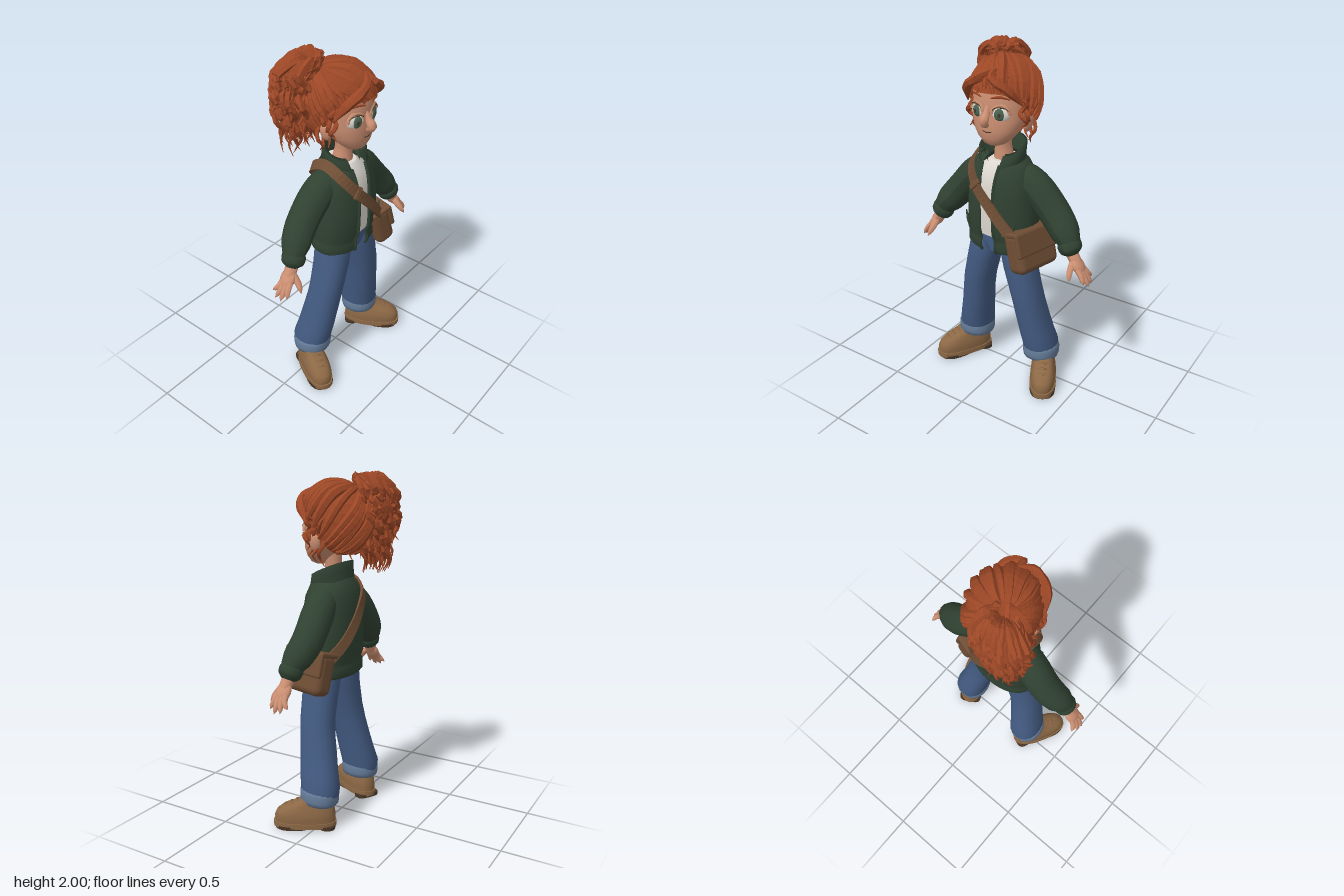
import * as THREE from 'three';
import { RoundedBoxGeometry } from 'three/addons/geometries/RoundedBoxGeometry.js';

const mat = (name, color, side = THREE.FrontSide) => {
  const m = new THREE.MeshStandardMaterial({ color, side });
  m.name = name;
  return m;
};
const V = (x, y, z) => new THREE.Vector3(x, y, z);

// Small seeded generator
let seed = 7;
const rnd = (a = 0, b = 1) => {
  seed = (seed * 16807) % 2147483647;
  return a + (b - a) * (seed / 2147483647);
};

// Horizontal rounded section; a gap leaves it open at the front, turned aside by turn; tilt raises the back
function ring(cx, y, rx, zf, zb, { n = 24, gap = 0, turn = 0, tilt = 0, pow = 0.9 } = {}) {
  const out = [], count = gap ? n + 1 : n, zc = (zf + zb) / 2, rz = (zf - zb) / 2;
  const bend = v => Math.sign(v) * Math.abs(v) ** pow;
  for (let i = 0; i < count; i++) {
    const a = turn + gap + (i / n) * (Math.PI * 2 - gap * 2);
    const z = zc + rz * bend(Math.cos(a));
    out.push(V(cx + rx * bend(Math.sin(a)), y + tilt * (zc - z), z));
  }
  return out;
}

// Surface through a stack of sections, bottom to top
function loft(rings, { open = false, caps = true, flat = false } = {}) {
  const n = rings[0].length, pos = [], idx = [];
  rings.forEach(r => r.forEach(p => pos.push(p.x, p.y, p.z)));
  for (let i = 0; i < rings.length - 1; i++)
    for (let j = 0; j < (open ? n - 1 : n); j++) {
      const k = (j + 1) % n, a = i * n + j, b = i * n + k, c = b + n, d = a + n;
      idx.push(a, b, c, a, c, d);
    }
  if (!open && caps) [0, rings.length - 1].forEach((r, top) => {
    const c = rings[r].reduce((s, p) => s.add(p), V(0, 0, 0)).divideScalar(n);
    const base = pos.length / 3;
    rings[r].forEach(p => pos.push(p.x, p.y, p.z));
    pos.push(c.x, c.y, c.z);
    for (let j = 0; j < n; j++) {
      const a = base + j, b = base + (j + 1) % n;
      idx.push(...(top ? [a, b, base + n] : [b, a, base + n]));
    }
  });
  let g = new THREE.BufferGeometry();
  g.setAttribute('position', new THREE.Float32BufferAttribute(pos, 3));
  g.setIndex(idx);
  if (flat) g = g.toNonIndexed();
  g.computeVertexNormals();
  return g;
}

// Tube whose radius follows a list
function limb(points, radii, seg = 12, sides = 10, flat = false) {
  const curve = new THREE.CatmullRomCurve3(points);
  let g = new THREE.TubeGeometry(curve, seg, 1, sides);
  const p = g.attributes.position, v = V(0, 0, 0);
  for (let i = 0; i <= seg; i++) {
    const c = curve.getPointAt(i / seg), f = (i / seg) * (radii.length - 1);
    const k = Math.min(Math.floor(f), radii.length - 2);
    const r = THREE.MathUtils.lerp(radii[k], radii[k + 1], f - k);
    for (let j = 0; j <= sides; j++) {
      const q = i * (sides + 1) + j;
      v.fromBufferAttribute(p, q).sub(c).multiplyScalar(r).add(c);
      p.setXYZ(q, v.x, v.y, v.z);
    }
  }
  if (flat) g = g.toNonIndexed();
  g.computeVertexNormals();
  return g;
}

export function createModel() {
  seed = 7;
  const root = new THREE.Group();
  root.name = 'figure';
  const M = {
    hair: mat('hair red', 0x9c4726, THREE.DoubleSide), skin: mat('skin', 0xcd9073),
    jacket: mat('jacket green', 0x304232, THREE.DoubleSide), jeans: mat('denim', 0x435b82),
    cuff: mat('light denim', 0x647b98), boot: mat('boot tan', 0x8c6845),
    sole: mat('dark brown', 0x483527), bag: mat('bag leather', 0x6f4e35, THREE.DoubleSide),
    white: mat('off white', 0xdfdad2), iris: mat('iris green', 0x4c6352),
  };
  const add = (name, geo, m, parent = root) => {
    const o = new THREE.Mesh(geo, m);
    o.name = name;
    parent.add(o);
    return o;
  };
  const ball = (name, m, p, s, parent = root) => {
    const o = add(name, new THREE.SphereGeometry(1, 20, 14), m, parent);
    o.position.set(...p);
    o.scale.set(...s);
    return o;
  };

  // Shirt, hips and open jacket
  add('shirt', loft([[0.95, 0.17, 0.18], [1.1, 0.18, 0.192], [1.25, 0.17, 0.188], [1.34, 0.13, 0.165], [1.39, 0.07, 0.125]]
    .map(([y, r, z]) => ring(0, y, r, z, -0.05))), M.white);
  add('hips', loft([[0.855, 0.05], [0.885, 0.13], [0.91, 0.165], [0.99, 0.17]].map(([y, r]) => ring(0, y, r, 0.17, -0.04))), M.jeans);
  const body = [[0.86, 0.204, 0.19, -0.075, 0.2], [0.875, 0.215, 0.2, -0.088, 0.2], [0.925, 0.215, 0.2, -0.088, 0.2],
    [0.94, 0.204, 0.195, -0.078, 0.2], [0.98, 0.217, 0.21, -0.092, 0.18], [1.1, 0.21, 0.216, -0.098, 0.18],
    [1.22, 0.2, 0.212, -0.098, 0.19], [1.32, 0.185, 0.195, -0.088, 0.24], [1.385, 0.15, 0.17, -0.065, 0.34], [1.425, 0.09, 0.13, -0.03, 0.5]]
    .map(([y, rx, zf, zb, gap]) => ring(0, y, rx, zf, zb, { n: 32, gap, turn: -0.06 }));
  add('jacket', loft(body, { open: true }), M.jacket);
  const collar = [[1.37, 0.13, 0.18, -0.055, 0.36], [1.42, 0.133, 0.178, -0.048, 0.4], [1.47, 0.138, 0.165, -0.045, 0.55],
    [1.475, 0.12, 0.145, -0.03, 0.57], [1.39, 0.09, 0.13, -0.02, 0.5]];
  add('collar', loft(collar.map(([y, rx, zf, zb, gap]) => ring(0, y, rx, zf, zb, { n: 24, gap, turn: -0.06, tilt: 0.42 })), { open: true }), M.jacket);
  [0, 32].forEach(e => add('zipEdge', limb(body.slice(0, 9).map(r => r[e]), [0.009, 0.009], 20, 6), M.jacket));

  [-1, 1].forEach(s => {
    // Sleeves with gathered cuffs
    add('sleeve', limb([V(s * 0.08, 1.325, 0.05), V(s * 0.175, 1.27, 0.035), V(s * 0.325, 1.11, 0.025), V(s * 0.425, 0.995, 0.055), V(s * 0.445, 0.965, 0.062)],
      [0.07, 0.088, 0.092, 0.09, 0.088, 0.082, 0.052], 20, 14), M.jacket);
    add('sleeveCuff', limb([V(s * 0.41, 1.005, 0.055), V(s * 0.435, 0.967, 0.06), V(s * 0.462, 0.925, 0.067)],
      [0.045, 0.066, 0.067, 0.062, 0.03], 10, 14), M.jacket);
    add('pocket', limb([V(s * 0.13, 0.98, 0.203), V(s * 0.165, 1.08, 0.187)], [0.004, 0.009, 0.004], 6, 6), M.jacket);

    // Hands
    const hand = new THREE.Group();
    hand.name = 'hand';
    root.add(hand);
    add('wrist', limb([V(s * 0.435, 0.955, 0.062), V(s * 0.485, 0.88, 0.068)], [0.036, 0.034], 4), M.skin, hand);
    ball('palm', M.skin, [s * 0.495, 0.87, 0.068], [0.027, 0.057, 0.046], hand).rotation.z = s * 0.6;
    [[0.005, 0.55, 0.795], [0.04, 0.57, 0.772], [0.077, 0.572, 0.766], [0.112, 0.555, 0.785]].forEach(([z, x, y], i) =>
      add('finger', limb([V(s * 0.495, 0.87, 0.045 + i * 0.016), V(s * 0.533, 0.825, 0.035 + i * 0.022), V(s * x, y, z)],
        [0.014, 0.017, 0.017, 0.0165, 0.015, 0.012, 0.001], 12, 8), M.skin, hand));
    add('thumb', limb([V(s * 0.47, 0.89, 0.085), V(s * 0.475, 0.85, 0.125), V(s * 0.488, 0.805, 0.157)], [0.02, 0.02, 0.018, 0.015, 0.001], 10, 8), M.skin, hand);

    // Trouser legs and rolled hems
    add('trouserLeg', loft([[0.16, 0.237, 0.094, 0.105, -0.1], [0.24, 0.233, 0.1, 0.122, -0.108], [0.32, 0.217, 0.095, 0.135, -0.088],
      [0.42, 0.197, 0.092, 0.146, -0.068], [0.52, 0.18, 0.09, 0.158, -0.048], [0.62, 0.161, 0.091, 0.168, -0.035], [0.76, 0.126, 0.094, 0.175, -0.035],
      [0.85, 0.106, 0.096, 0.173, -0.04], [0.96, 0.09, 0.085, 0.16, -0.035]]
      .map(([y, cx, r, f, b]) => ring(s * cx, y, r, f, b, { n: 18 }))), M.jeans);
    add('rolledHem', loft([[0.155, 0.09], [0.15, 0.1], [0.175, 0.106], [0.215, 0.106], [0.228, 0.098]]
      .map(([y, r]) => ring(s * 0.238, y, r, r + 0.014, 0.003 - r, { n: 18, tilt: -0.08 }))), M.cuff);

    // Boots turned outward
    const boot = new THREE.Group();
    boot.name = 'boot';
    boot.position.set(s * 0.255, 0, 0);
    boot.rotation.y = s * 0.5;
    root.add(boot);
    add('upper', loft([[0.035, 0.074, 0.255, -0.092], [0.07, 0.077, 0.26, -0.093], [0.1, 0.074, 0.247, -0.09], [0.13, 0.066, 0.21, -0.085],
      [0.152, 0.06, 0.15, -0.08], [0.175, 0.061, 0.1, -0.08], [0.21, 0.063, 0.075, -0.08]]
      .map(([y, r, f, b]) => ring(0, y, r, f, b, { pow: 0.8 }))), M.boot, boot);
    add('welt', loft([0.01, 0.04].map(y => ring(0, y, 0.08, 0.266, -0.098, { pow: 0.8 }))), M.boot, boot);
    add('heel', loft([0, 0.0205].map(y => ring(0, y, 0.073, 0.0, -0.092, { pow: 0.65 }))), M.sole, boot);
    add('treadFront', loft([0, 0.0205].map(y => ring(0, y, 0.076, 0.255, 0.04, { pow: 0.8 }))), M.sole, boot);
    [[0.136, 0.193], [0.152, 0.16], [0.166, 0.126]].forEach(([y, z]) =>
      add('lace', limb([V(-0.04, y - 0.02, z - 0.01), V(0, y + 0.002, z + 0.005), V(0.04, y - 0.02, z - 0.01)], [0.006, 0.006], 8, 5), M.boot, boot));

    // Ears, eyes and brows
    ball('ear', M.skin, [s * 0.168, 1.62, 0.07], [0.02, 0.05, 0.033]).rotation.z = -s * 0.2;
    const eye = new THREE.Group();
    eye.name = 'eye';
    eye.position.set(s * 0.07, 1.677, 0.18);
    eye.rotation.y = s * 0.34;
    root.add(eye);
    ball('eyeWhite', M.white, [0, 0, 0], [0.05, 0.042, 0.024], eye);
    ball('iris', M.iris, [-s * 0.004, 0, 0.013], [0.031, 0.033, 0.014], eye);
    ball('pupil', M.sole, [-s * 0.004, 0, 0.019], [0.013, 0.015, 0.01], eye);
    const lid = add('upperLid', new THREE.TorusGeometry(0.047, 0.01, 6, 20, Math.PI), M.skin, eye);
    lid.position.z = 0.008;
    add('lashes', limb([V(-0.05, 0.012, 0.012), V(-0.03, 0.034, 0.019), V(0.03, 0.034, 0.019), V(0.05, 0.012, 0.012)], [0.002, 0.003, 0.002], 12, 5), M.sole, eye);
    add('eyebrow', limb([V(s * 0.03, 1.762, 0.214), V(s * 0.075, 1.772, 0.203), V(s * 0.12, 1.757, 0.168)], [0.004, 0.008, 0.003], 10, 6), M.hair);
  });

  // Neck, head, nose and mouth
  add('neck', limb([V(0, 1.36, 0.045), V(0, 1.46, 0.055), V(0, 1.57, 0.06)], [0.062, 0.046, 0.055], 8, 14), M.skin);
  add('head', loft([[1.49, 0.035, 0.168, 0.1], [1.503, 0.066, 0.187, 0.075], [1.535, 0.1, 0.203, 0.04], [1.58, 0.134, 0.212, -0.01], [1.64, 0.154, 0.212, -0.06],
    [1.7, 0.158, 0.206, -0.1], [1.78, 0.158, 0.212, -0.11], [1.85, 0.13, 0.18, -0.09], [1.9, 0.06, 0.1, -0.03]]
    .map(([y, r, f, b]) => ring(0, y, r, f, b, { n: 28, pow: 0.95 }))), M.skin);
  add('nose', limb([V(0, 1.72, 0.196), V(0, 1.67, 0.216), V(0, 1.637, 0.239), V(0, 1.612, 0.21)], [0.01, 0.018, 0.027, 0.014], 10, 10), M.skin);
  add('mouth', limb([V(-0.06, 1.588, 0.199), V(0, 1.576, 0.213), V(0.06, 1.588, 0.199)], [0.001, 0.003, 0.001], 10, 5), M.sole);

  // Scalp hair: a cap with a hairline that drops behind the ears, covered by locks swept to the tie
  const hair = new THREE.Group();
  hair.name = 'hair';
  root.add(hair);
  const edge = a => 1.28 + 1.32 * THREE.MathUtils.smoothstep(-Math.cos(a), -0.95, 0.6);
  const dir = (a, p) => V(Math.sin(p) * Math.sin(a), Math.cos(p), Math.sin(p) * Math.cos(a));
  const onHead = (d, k) => {
    const wide = d.y < 0 ? 1 + 0.35 * d.y * d.y : 1;
    return V(d.x * 0.18 * k * wide, 1.73 + d.y * 0.203 * k, 0.03 + d.z * (d.z > 0 ? 0.212 : 0.205) * k);
  };
  const cap = [];
  for (let i = 0; i <= 10; i++) {
    const r = [];
    for (let j = 0; j < 32; j++) {
      const a = (j / 32) * Math.PI * 2;
      r.push(onHead(dir(a, edge(a) * (1 - i / 10.2)), 0.98));
    }
    cap.push(r);
  }
  add('scalp', loft(cap, { caps: false, flat: true }), M.hair, hair);
  const tie = V(-0.42, 0.8, -0.42).normalize();
  for (let i = 0; i < 50; i++) {
    const a = (i / 50) * Math.PI * 2 + rnd(-0.08, 0.08), d0 = dir(a, edge(a) - rnd(-0.03, 0.16)), lift = rnd(-0.01, 0.05);
    const pts = [0, 0.25, 0.5, 0.75, 1].map(t => {
      const d = d0.clone().lerp(tie, t).normalize();
      d.x += rnd(-0.08, 0.08);
      d.z += rnd(-0.05, 0.05);
      return onHead(d.normalize(), 0.97 + lift + 0.015 * Math.sin(Math.PI * t));
    });
    const r = rnd(0.75, 1.15);
    add('sweptLock', limb(pts, [0.008, 0.024 * r, 0.027 * r, 0.023 * r, 0.012], 12, 6, true), M.hair, hair);
  }

  // Fringe parted to both sides, and loose curls by the ears
  for (let i = 0; i < 8; i++) {
    const s = i < 5 ? -1 : 1, k = i < 5 ? i : i - 5;
    add('fringe', limb([V(0.03, 1.905 - k * 0.008, 0.17), V(s * (0.035 + k * 0.01), 1.872 - k * 0.008, 0.224),
      V(s * (0.1 + k * 0.008), 1.825 - k * 0.006, 0.2), V(s * (0.16 + k * 0.004), 1.75 - k * 0.012, 0.13)],
      [0.01, 0.022, 0.021, 0.004], 12, 6, true), M.hair, hair);
  }
  [-1, 1].forEach(s => {
    for (let k = 0; k < 4; k++) {
      const pts = [];
      for (let i = 0; i < 8; i++)
        pts.push(V(s * (0.168 + 0.02 * Math.sin(i * 1.7 + k * 2)), 1.76 - i * (0.026 + k * 0.004), 0.12 - k * 0.03 + 0.014 * Math.cos(i * 1.7 + k)));
      add('sideCurl', limb(pts, [0.008, 0.014, 0.013, 0.01, 0.002], 20, 5, true), M.hair, hair);
    }
  });

  // High curly ponytail
  const core = ball('ponytailCore', M.hair, [-0.12, 1.73, -0.125], [0.09, 0.2, 0.075], hair);
  core.geometry = new THREE.IcosahedronGeometry(1, 2);
  for (let i = 0; i < 90; i++) {
    const a = i * 2.39996, end = 1.44 + 0.36 * rnd() ** 1.5, w = rnd(0.68, 1.2), ph = rnd(0, 6.28), flick = rnd(-0.02, 0.035);
    const pts = [V(-0.085, 1.91, -0.07), V(-0.1 + Math.cos(a) * 0.075, 1.95 + rnd(-0.025, 0.032), -0.095 + Math.sin(a) * 0.065)];
    for (let k = 0; k < 8; k++) {
      const t = k / 7, y = 1.9 - (1.9 - end) * t;
      const fat = w * (y > 1.75 ? 1 - (y - 1.75) * 1.2 : 1 - (1.75 - y) * 1.6);
      const out = flick * t * t;
      pts.push(V(-0.13 + Math.cos(a) * (0.145 * fat + out) + 0.019 * Math.sin(k * 2.2 + ph), y,
        -0.14 + Math.sin(a) * (0.098 * fat + out) + 0.016 * Math.cos(k * 2.2 + ph)));
    }
    add('ponytailCurl', limb(pts, [0.014, 0.018, 0.018, 0.016, 0.013, 0.001], 26, 5, true), M.hair, hair);
  }

  // Shoulder strap, a flat ribbon around the torso
  const path = new THREE.CatmullRomCurve3([V(0.18, 0.98, 0.2), V(0.125, 1.035, 0.216), V(0.03, 1.145, 0.228), V(-0.085, 1.27, 0.212),
    V(-0.145, 1.365, 0.155), V(-0.15, 1.41, 0.055), V(-0.125, 1.35, -0.06), V(0, 1.21, -0.104), V(0.12, 1.07, -0.086), V(0.205, 0.98, -0.035)]);
  const ribbon = [];
  for (let i = 0; i <= 48; i++) {
    const p = path.getPointAt(i / 48), t = path.getTangentAt(i / 48);
    const out = p.clone().sub(V(-0.02, 1.15 + (p.y - 1.15) * 0.6, 0.06));
    out.addScaledVector(t, -out.dot(t)).normalize();
    const side = t.clone().cross(out);
    ribbon.push([[-1, -1], [1, -1], [1, 1], [-1, 1]].map(([u, v]) =>
      p.clone().addScaledVector(side, u * 0.03).addScaledVector(out, v * 0.007)));
  }
  add('strap', loft(ribbon, { flat: true }), M.bag);
  const buckle = add('strapBuckle', new RoundedBoxGeometry(0.075, 0.03, 0.02, 2, 0.006), M.bag);
  buckle.position.set(-0.08, 1.265, 0.218);
  buckle.rotation.set(-0.3, -0.2, 0.8);

  // Satchel on the left hip
  const bag = new THREE.Group();
  bag.name = 'satchel';
  bag.position.set(0.208, 0.908, 0.092);
  bag.rotation.set(0, -0.25, 0.26);
  root.add(bag);
  add('pouch', new RoundedBoxGeometry(0.125, 0.245, 0.292, 3, 0.042), M.bag, bag);
  add('flap', new RoundedBoxGeometry(0.03, 0.14, 0.302, 3, 0.012), M.bag, bag).position.set(0.057, 0.052, 0);
  add('flapTop', new RoundedBoxGeometry(0.13, 0.03, 0.302, 3, 0.012), M.bag, bag).position.set(0.004, 0.112, 0);
  return root;
}
